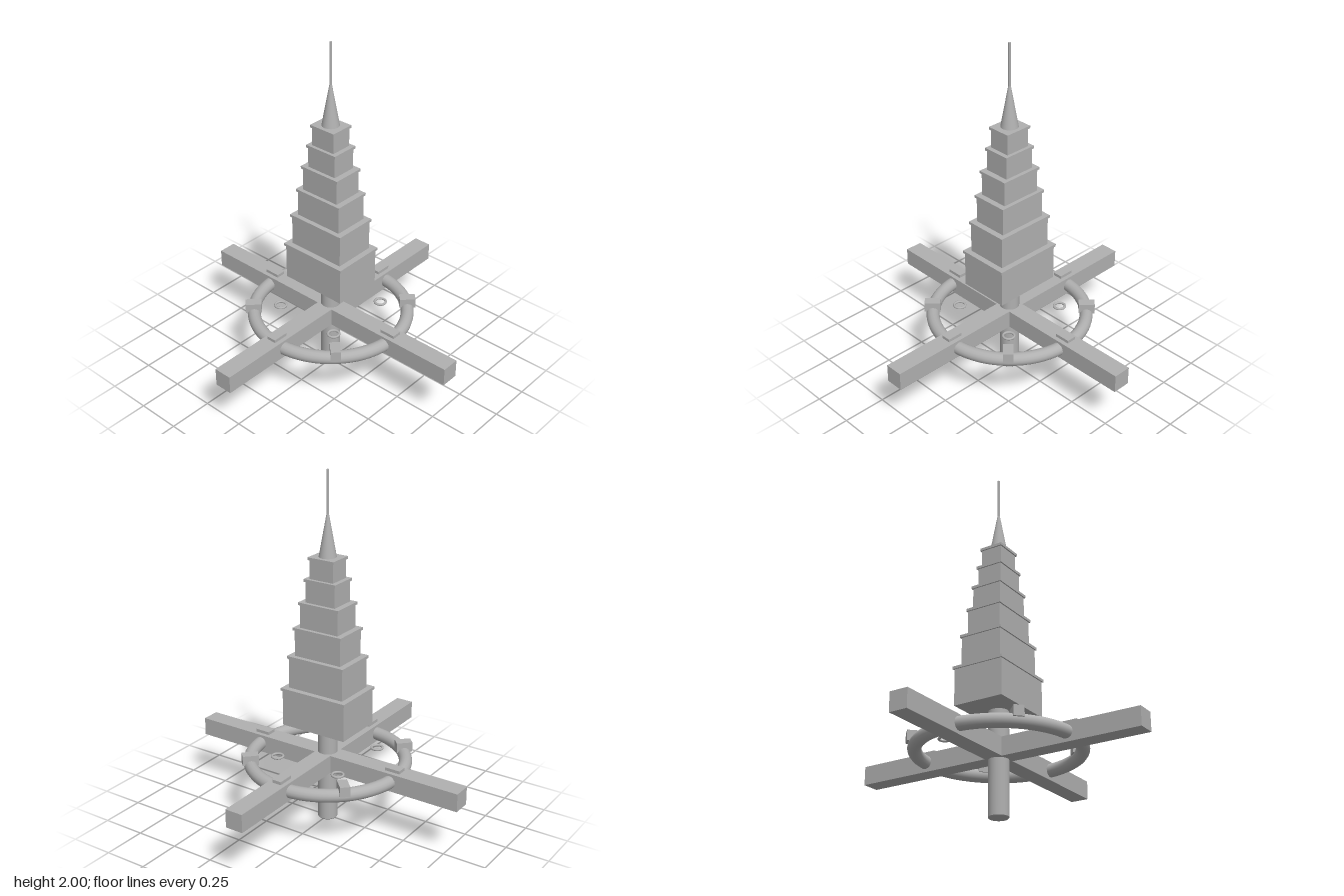
import * as THREE from 'three';

export function createModel() {
  const model = new THREE.Group();
  const grey = new THREE.MeshStandardMaterial({ color: 0xb0b0b0 });
  grey.name = 'grey';

  const add = (name, geometry, x = 0, y = 0, z = 0, parent = model) => {
    const mesh = new THREE.Mesh(geometry, grey);
    mesh.name = name;
    mesh.position.set(x, y, z);
    parent.add(mesh);
    return mesh;
  };

  // Central column with a slightly eased foot
  add('column', new THREE.LatheGeometry([
    [0, 0], [0.05, 0], [0.055, 0.006], [0.055, 0.006], [0.055, 0.58],
  ].map(([r, y]) => new THREE.Vector2(r, y)), 32));

  // Crossed beams
  add('beamAcross', new THREE.BoxGeometry(1.69, 0.104, 0.104), 0, 0.36, 0);
  add('beamAlong', new THREE.BoxGeometry(0.104, 0.104, 1.69), 0, 0.36, 0);

  // Large ring and its eight clips
  add('ring', new THREE.TorusGeometry(0.435, 0.037, 16, 72).rotateX(Math.PI / 2), 0, 0.362, 0);
  for (let i = 0; i < 8; i++) {
    const a = i * Math.PI / 4;
    const clip = add('ringClip', new THREE.BoxGeometry(0.09, 0.057, 0.055),
      0.436 * Math.cos(a), 0.401, -0.436 * Math.sin(a));
    clip.rotation.y = a;
  }

  // Four small hoops between the beams
  for (const x of [-0.2, 0.2]) for (const z of [-0.2, 0.2]) {
    add('smallHoop', new THREE.TorusGeometry(0.031, 0.007, 10, 28).rotateX(Math.PI / 2), x, 0.403, z);
  }

  // Stepped tower: each tier is [half width, half depth, top of cornice]
  const tower = new THREE.Group();
  tower.name = 'tower';
  model.add(tower);
  const cornice = 0.015;
  let base = 0.575;
  for (const [w, d, top] of [
    [0.199, 0.146, 0.795], [0.173, 0.121, 0.981], [0.146, 0.101, 1.143],
    [0.12, 0.087, 1.287], [0.093, 0.073, 1.418], [0.074, 0.062, 1.537],
  ]) {
    const h = top - cornice - base;
    add('tierWall', new THREE.BoxGeometry(2 * w, h, 2 * d), 0, base + h / 2, 0, tower);
    add('tierCornice', new THREE.BoxGeometry(2 * w + 0.015, cornice, 2 * d + 0.015),
      0, top - cornice / 2, 0, tower);
    base = top;
  }

  // Spire and mast
  add('spire', new THREE.CylinderGeometry(0.007, 0.048, 0.228, 32), 0, base + 0.114, 0, tower);
  add('mast', new THREE.CylinderGeometry(0.007, 0.007, 0.24, 12), 0, 1.88, 0, tower);

  return model;
}
